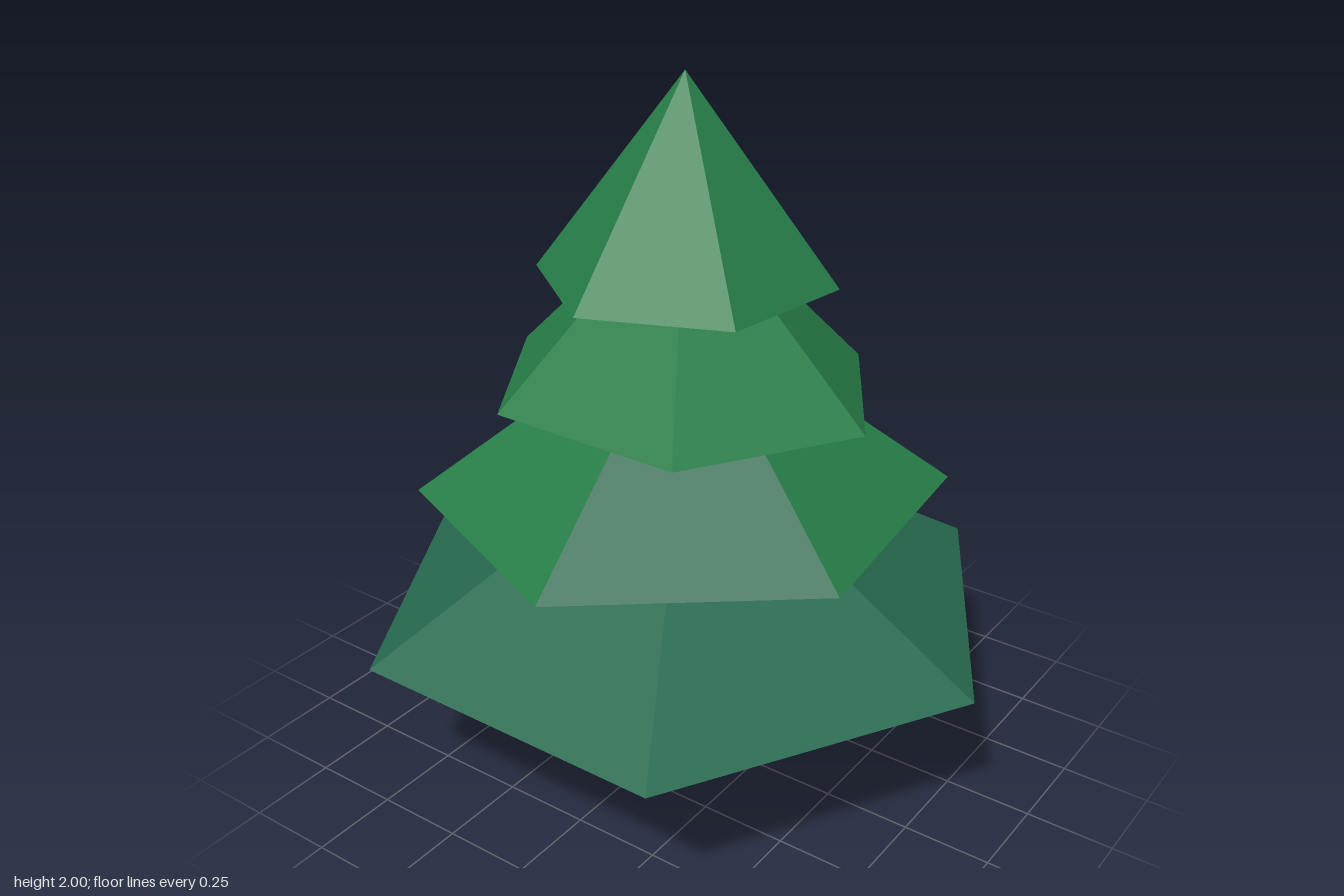
import * as THREE from 'three';

const TIER_HEIGHT = 0.545;

// Open six-sided cone; the rim is three [x, z] corners plus their opposites.
function makeTier(name, rimY, half, materials) {
  const rim = [...half, ...half.map(([x, z]) => [-x, -z])];
  const positions = [];
  const geometry = new THREE.BufferGeometry();
  rim.forEach(([x, z], i) => {
    const [nx, nz] = rim[(i + 1) % rim.length];
    positions.push(0, TIER_HEIGHT, 0, nx, 0, nz, x, 0, z);
    geometry.addGroup(i * 3, 3, i % materials.length);
  });
  geometry.setAttribute('position', new THREE.Float32BufferAttribute(positions, 3));
  geometry.computeVertexNormals();
  const tier = new THREE.Mesh(geometry, materials);
  tier.name = name;
  tier.position.y = rimY;
  return tier;
}

export function createModel() {
  const leaf = (name, color) => {
    const m = new THREE.MeshStandardMaterial({ color, flatShading: true, side: THREE.DoubleSide });
    m.name = name;
    return m;
  };
  const green = leaf('leaf green', 0x277d48);
  const teal = leaf('blue green', 0x276a4f);
  const bark = new THREE.MeshStandardMaterial({ color: 0x4f4026, flatShading: true });
  bark.name = 'bark brown';

  const tree = new THREE.Group();
  tree.name = 'pineTree';

  // Five-sided trunk with a flat face to the front
  const trunkHeight = 1.55;
  const trunkGeometry = new THREE.CylinderGeometry(0.1945, 0.1945, trunkHeight, 5, 1, false, Math.PI);
  trunkGeometry.scale(1, 1, 1.094);
  trunkGeometry.translate(0, trunkHeight / 2, 0.02);
  const trunk = new THREE.Mesh(trunkGeometry, bark);
  trunk.name = 'trunk';
  tree.add(trunk);

  // Branch tiers from bottom to top; the second alternates its two greens
  tree.add(
    makeTier('bottomBranches', 0.485, [[0.92, 0], [0.46, 0.803], [-0.46, 0.803]], [teal]),
    makeTier('lowerBranches', 0.845, [[0.66, 0.27], [0.08, 0.737], [-0.575, 0.462]], [teal, green]),
    makeTier('upperBranches', 1.15, [[0.56, 0], [0.28, 0.445], [-0.28, 0.445]], [green]),
    makeTier('topBranches', 1.455, [[0.32, 0.237], [-0.057, 0.394], [-0.376, 0.157]], [green]),
  );
  return tree;
}
